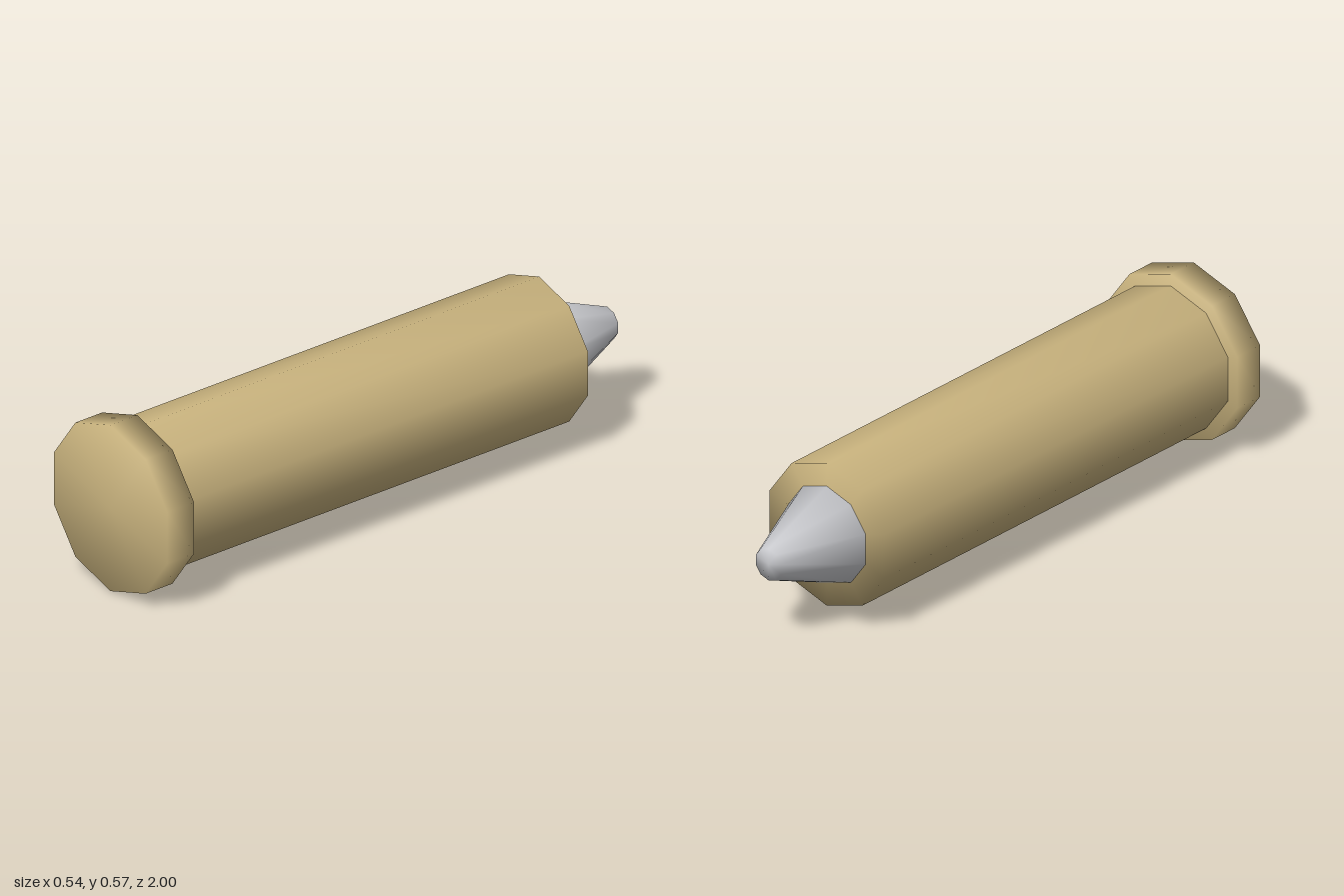
import * as THREE from 'three';
import { mergeVertices } from 'three/addons/utils/BufferGeometryUtils.js';

const SIDES = 10;
const AXIS_Y = 0.286;

// Ten-sided section along z, with normals smoothed across its end caps
function section(name, zFront, zBack, rFront, rBack, material) {
  let geo = new THREE.CylinderGeometry(rFront, rBack, zFront - zBack, SIDES);
  geo.deleteAttribute('normal');
  geo.deleteAttribute('uv');
  geo = mergeVertices(geo, 1e-4);
  geo.clearGroups();
  geo.rotateX(Math.PI / 2);
  geo.computeVertexNormals();
  const mesh = new THREE.Mesh(geo, material);
  mesh.name = name;
  mesh.position.set(0, AXIS_Y, (zFront + zBack) / 2);
  return mesh;
}

export function createModel() {
  const brass = new THREE.MeshStandardMaterial({ color: 0xc9b37e });
  brass.name = 'brass';
  const silver = new THREE.MeshStandardMaterial({ color: 0xc6c7cb });
  silver.name = 'silver';

  const model = new THREE.Group();
  model.name = 'cartridge';
  model.add(
    section('baseRim', 1, 0.892, 0.285, 0.285, brass),
    section('casing', 0.892, -0.725, 0.245, 0.245, brass),
    section('taperedTip', -0.72, -1, 0.168, 0.054, silver),
  );
  return model;
}
